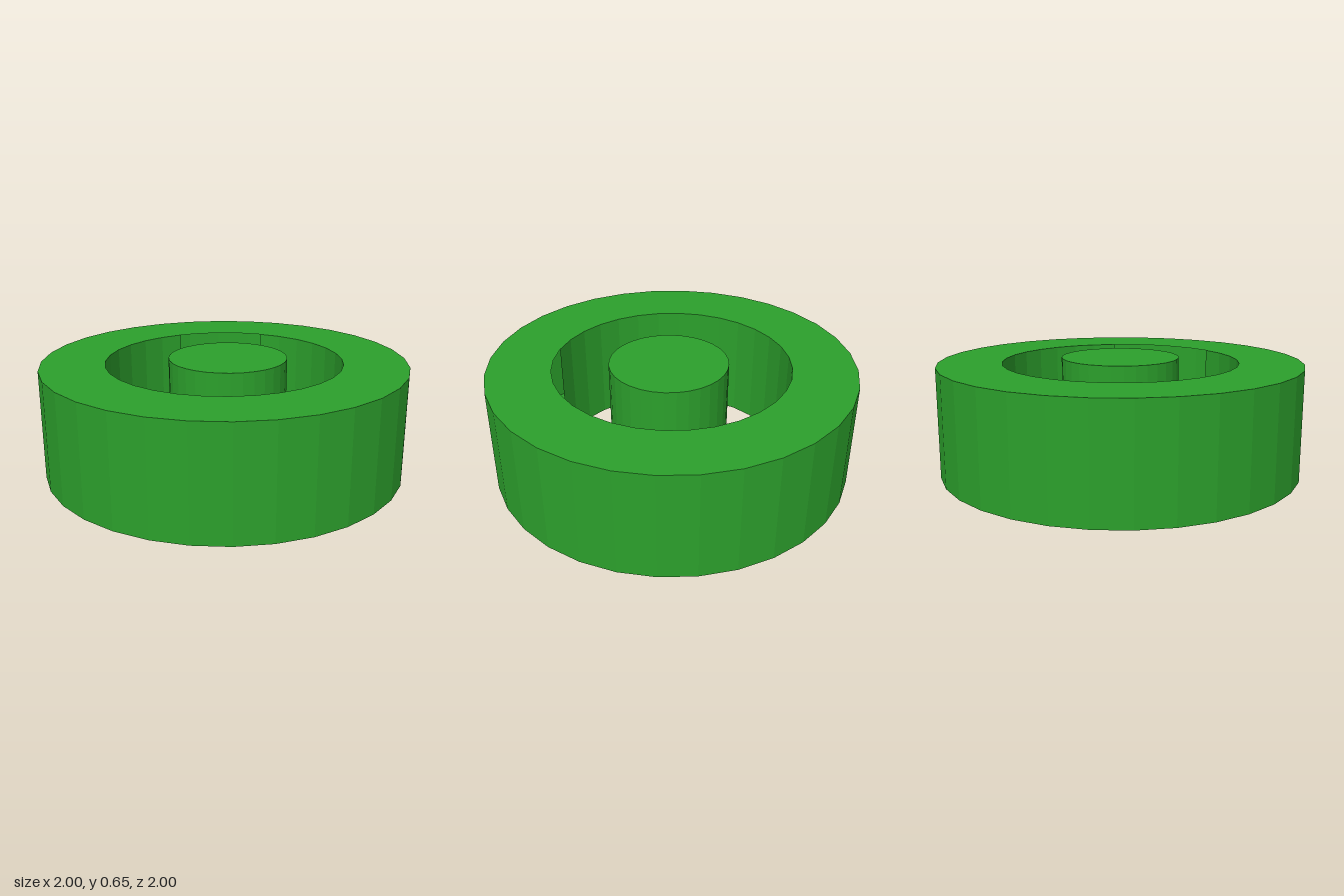
import * as THREE from 'three';

const STEP = Math.PI / 16; // one facet of the 32-sided ring
const R_OUT = 1, R_IN = 0.65, Y0 = 0.03, Y1 = 0.63;

export function createModel() {
  const group = new THREE.Group();
  const green = new THREE.MeshStandardMaterial({ color: 0x2ca02c, flatShading: true, side: THREE.DoubleSide });

  const add = (name, geometry, x, y, z, parent) => {
    const mesh = new THREE.Mesh(geometry, green);
    mesh.name = name;
    mesh.position.set(x, y, z);
    parent.add(mesh);
    return mesh;
  };

  // Hollow outer ring
  const ring = new THREE.Group();
  ring.name = 'ring';
  group.add(ring);
  const height = Y1 - Y0, mid = (Y0 + Y1) / 2;
  const wall = (name, radius, facets, start) =>
    add(name, new THREE.CylinderGeometry(radius, radius, height, facets, 1, true, start * STEP, facets * STEP), 0, mid, 0, ring);

  wall('ringOuterWall', R_OUT, 32, 0);

  // Bore wall, with two openings into the hollow ring: [first facet, facet count]
  for (const [start, facets] of [[4, 8], [16, 15]]) wall('ringBoreWall', R_IN, facets, start);

  // Flat faces above and below
  for (const [name, y, tilt] of [['ringTopFace', Y1, -1], ['ringBottomFace', Y0, 1]]) {
    const face = new THREE.RingGeometry(R_IN, R_OUT, 32, 1).rotateX(tilt * Math.PI / 2);
    add(name, face, 0, y, 0, ring);
  }

  // Central pin, slightly off centre and taller than the ring
  add('centrePin', new THREE.CylinderGeometry(0.325, 0.325, 0.65, 32), 0.015, 0.33, 0.015, group);
  group.children[1].position.y = 0.325;

  return group;
}
